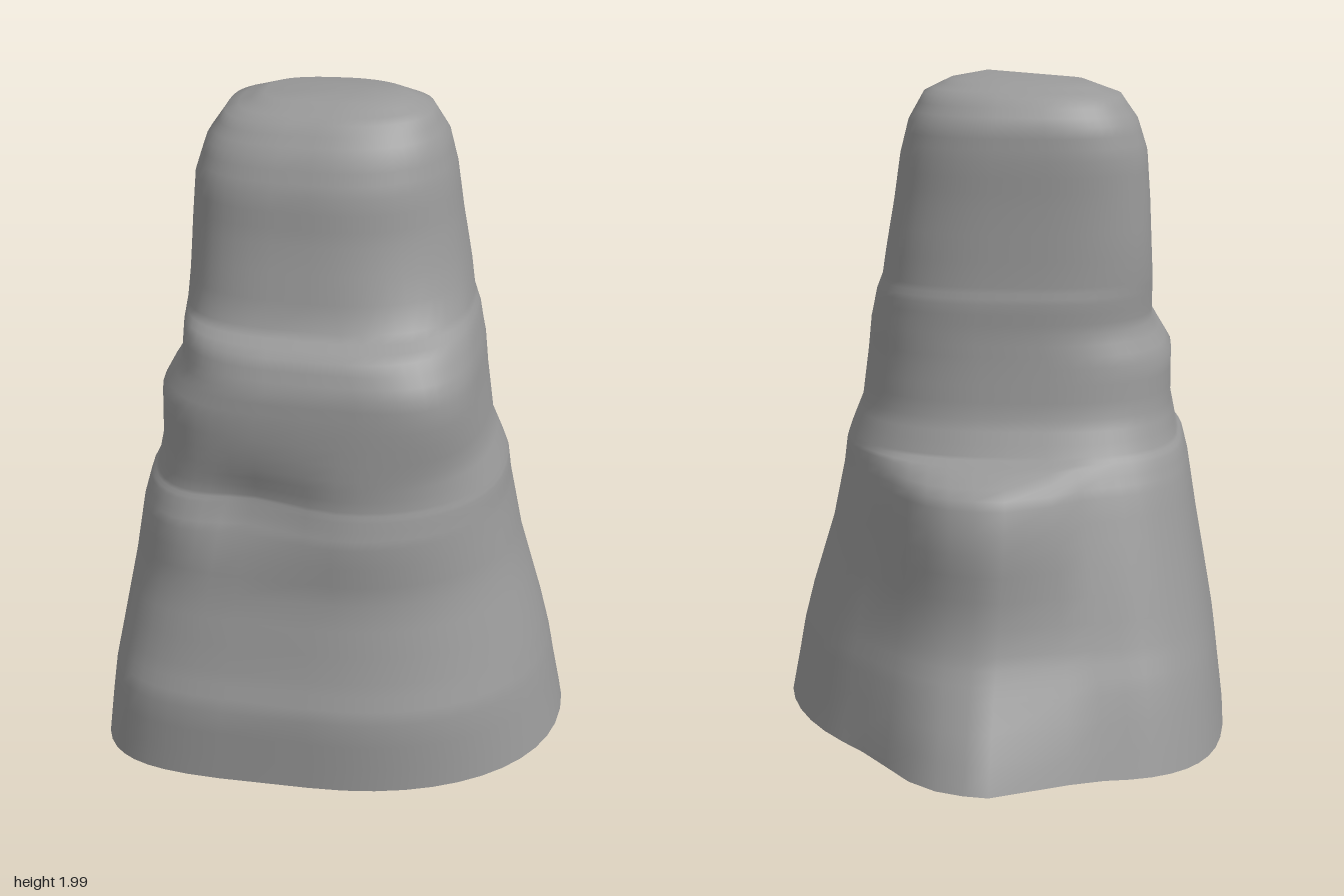
import * as THREE from 'three';

// Key outlines: height, right edge (-x), left edge (+x), back z, front z
const KEYS = [
  [0.02, -0.69, 0.68, -0.57, 0.72],
  [0.25, -0.66, 0.64, -0.49, 0.72],
  [0.37, -0.64, 0.61, -0.44, 0.68],
  [0.60, -0.60, 0.54, -0.37, 0.63],
  [0.79, -0.57, 0.50, -0.31, 0.64],
  [0.87, -0.55, 0.49, -0.27, 0.62],
  [0.90, -0.53, 0.48, -0.25, 0.61],
  [1.00, -0.51, 0.44, -0.20, 0.61],
  [1.15, -0.51, 0.42, -0.18, 0.60],
  [1.25, -0.45, 0.41, -0.17, 0.59],
  [1.34, -0.45, 0.39, -0.17, 0.55],
  [1.39, -0.45, 0.37, -0.16, 0.46],
  [1.62, -0.44, 0.33, -0.15, 0.40],
  [1.76, -0.43, 0.31, -0.15, 0.38],
  [1.86, -0.40, 0.285, -0.14, 0.34],
  [1.94, -0.35, 0.24, -0.09, 0.28],
  [1.98, -0.24, 0.16, -0.01, 0.20],
];
const SEGMENTS = 48;
const STEPS = 3;

const { clamp, lerp, smoothstep } = THREE.MathUtils;
const bump = (v, centre, width) => Math.exp(-(((v - centre) / width) ** 2));
const signedPow = (v, p) => Math.sign(v) * Math.abs(v) ** p;

// Corner roundness of each quadrant: 1 is an ellipse, smaller is squarer
function roundness(y, isLeft, isFront) {
  const up = smoothstep(y, 0.1, 1.3);
  if (!isLeft) return isFront ? lerp(0.45, 0.6, up) : lerp(0.55, 0.75, up);
  // The front left corner juts out just below the shoulder
  return isFront ? 0.92 - 0.36 * bump(y, 1.2, 0.2) : lerp(1.1, 0.75, up);
}

// Depth of the back buttress: flared foot, waist, block and ledge
function buttressDepth(y) {
  const ledge = 1 - clamp((y - 0.77) / 0.12, 0, 1) ** 4;
  const foot = 1 - smoothstep(y, 0.02, 0.37);
  const block = smoothstep(y, 0.4, 0.75);
  return ledge * (0.07 + 0.08 * (foot + block));
}

function ringPoint([y, x0, x1, z0, z1], angle) {
  const cos = Math.cos(angle);
  const sin = Math.sin(angle);
  const p = roundness(y, cos > 0, sin > 0);
  const s = signedPow(sin, p);
  const zc = 0.18 - 0.08 * smoothstep(y, 1.25, 1.5);
  const x = (x0 + x1) / 2 + (signedPow(cos, p) * (x1 - x0)) / 2;
  let z = zc + s * (s > 0 ? z1 - zc : zc - z0);
  if (s < 0) z += s * buttressDepth(y) * Math.exp(-(((x - 0.06) / 0.26) ** 4));
  // Hollow in the front face
  else z -= 0.06 * s * bump(x, -0.2, 0.17) * bump(y, 0.86, 0.16);
  // Tilted crown and slightly uneven foot
  const crown = smoothstep(y, 1.8, 1.96) * 0.03 * Math.min(x, 0);
  const foot = (1 - smoothstep(y, 0.02, 0.2)) * 0.018 * x;
  return [x, y + crown + foot, z];
}

function ringPositions(ring) {
  return Array.from({ length: SEGMENTS }, (_, i) => ringPoint(ring, (i / SEGMENTS) * Math.PI * 2)).flat();
}

function toGeometry(positions, indices) {
  const geometry = new THREE.BufferGeometry();
  geometry.setAttribute('position', new THREE.Float32BufferAttribute(positions, 3));
  geometry.setIndex(indices);
  geometry.computeVertexNormals();
  return geometry;
}

function createBody() {
  // Intermediate rings between the key outlines
  const rings = [KEYS[0]];
  for (let k = 1; k < KEYS.length; k++) {
    for (let j = 1; j <= STEPS; j++) {
      rings.push(KEYS[k].map((v, n) => lerp(KEYS[k - 1][n], v, j / STEPS)));
    }
  }
  const positions = rings.flatMap(ringPositions);
  const top = positions.length / 3;
  positions.push(0.05, 2, 0.12);

  const indices = [];
  for (let r = 0; r < rings.length; r++) {
    for (let i = 0; i < SEGMENTS; i++) {
      const a = r * SEGMENTS + i;
      const b = r * SEGMENTS + ((i + 1) % SEGMENTS);
      // The last ring closes to the summit
      if (r === rings.length - 1) indices.push(a, top, b);
      else indices.push(a, a + SEGMENTS, b, b, a + SEGMENTS, b + SEGMENTS);
    }
  }
  return toGeometry(positions, indices);
}

function createUnderside() {
  const positions = [0, 0.02, 0.08, ...ringPositions(KEYS[0])];
  const indices = [];
  for (let i = 0; i < SEGMENTS; i++) indices.push(0, i + 1, ((i + 1) % SEGMENTS) + 1);
  return toGeometry(positions, indices);
}

export function createModel() {
  const group = new THREE.Group();
  group.name = 'rock';
  const material = new THREE.MeshStandardMaterial({ color: 0x999999 });
  const parts = { rockBody: createBody(), rockUnderside: createUnderside() };
  for (const [name, geometry] of Object.entries(parts)) {
    const mesh = new THREE.Mesh(geometry, material);
    mesh.name = name;
    group.add(mesh);
  }
  return group;
}
